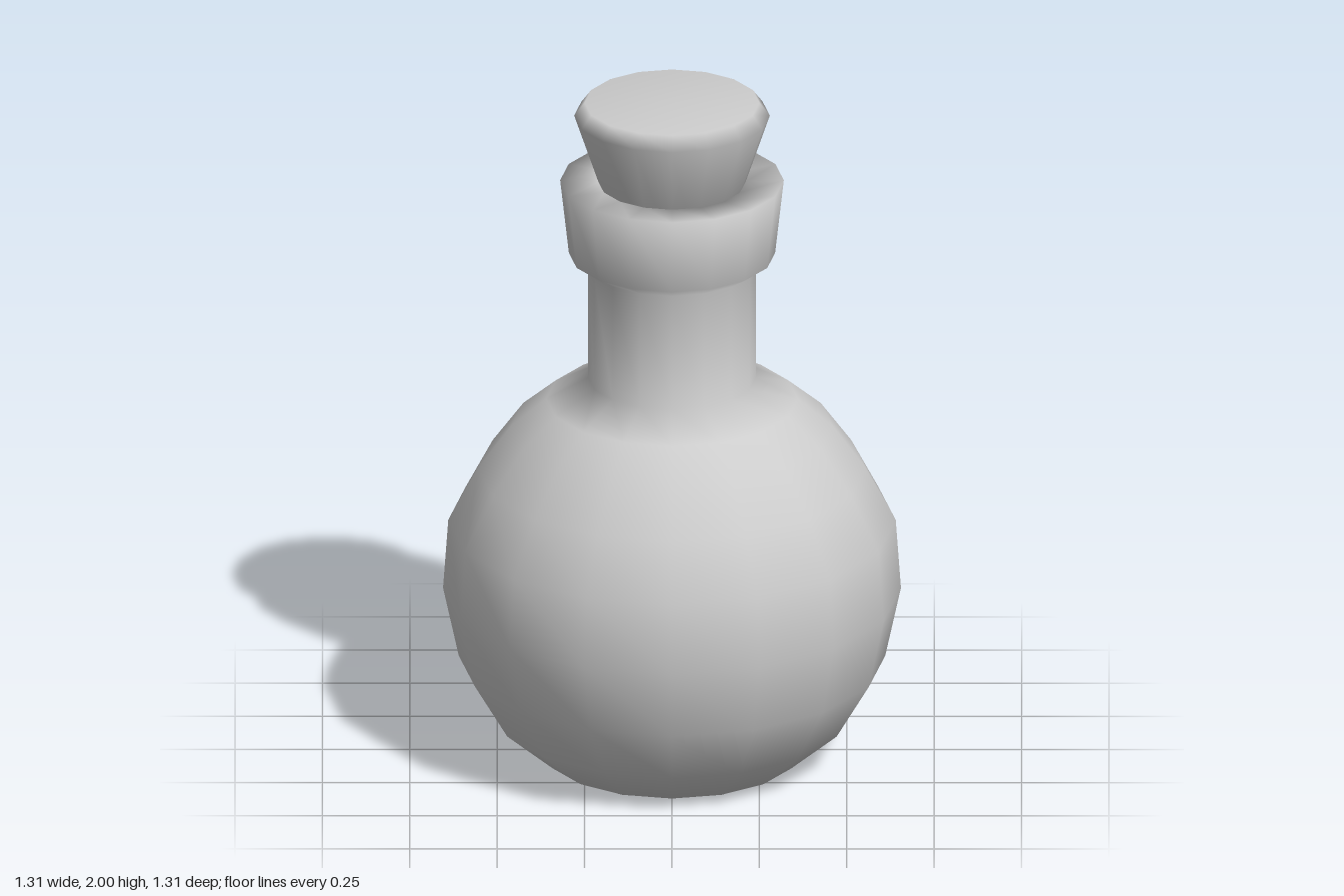
import * as THREE from 'three';

const SIDES = 16;

// Smooth-shaded turned part from [radius, height] pairs, listed bottom to top
function turned(name, profile) {
  const points = profile.map(([r, y]) => new THREE.Vector2(r, y));
  const material = new THREE.MeshStandardMaterial({ color: 0xcccccc, side: THREE.DoubleSide });
  const mesh = new THREE.Mesh(new THREE.LatheGeometry(points, SIDES), material);
  mesh.name = name;
  return mesh;
}

export function createModel() {
  const flask = new THREE.Group();
  flask.name = 'corkedFlask';

  // Round body, straight neck and flared lip in one continuous skin
  flask.add(turned('flaskBody', [
    [0, 0], [0.37, 0], [0.51, 0.12], [0.61, 0.29], [0.655, 0.5],
    [0.64, 0.71], [0.555, 0.87], [0.46, 1.0], [0.36, 1.085], [0.24, 1.15],
    [0.24, 1.5], [0.295, 1.535], [0.32, 1.76],
    [0.21, 1.755], [0.19, 1.6],
  ]));

  // Tapered cork with a bevelled top, its lower end sunk in the neck
  flask.add(turned('cork', [
    [0, 1.62], [0.165, 1.62], [0.28, 1.96], [0.25, 2.0], [0, 2.0],
  ]));

  return flask;
}
